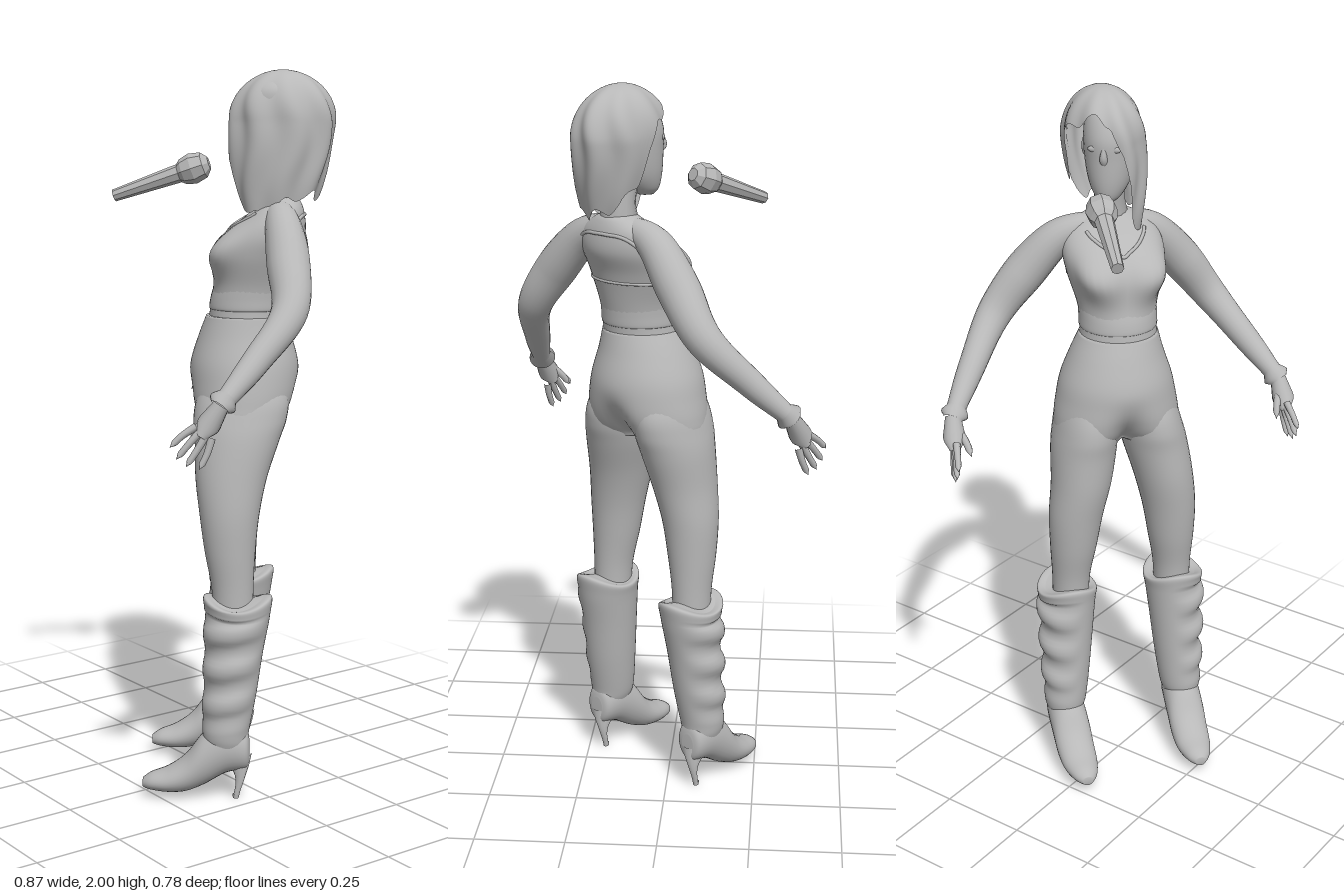
import * as THREE from 'three';

const grey = new THREE.MeshStandardMaterial({ color: 0xb8b8b8 });
grey.name = 'grey';
const V = (x, y, z) => new THREE.Vector3(x, y, z);

function part(name, geometry, parent) {
  const m = new THREE.Mesh(geometry, grey);
  m.name = name;
  parent.add(m);
  return m;
}

// smooth interpolation between rows of numbers, t in 0..rows-1
function rowAt(rows, t) {
  const last = rows.length - 1;
  const i = Math.min(Math.floor(t), last - 1), f = t - i;
  const r = k => rows[Math.max(0, Math.min(last, k))];
  return r(i).map((b, k) => {
    const a = r(i - 1)[k], c = r(i + 1)[k], d = r(i + 2)[k];
    return b + 0.5 * f * (c - a + f * (2 * a - 5 * b + 4 * c - d + f * (3 * (b - c) + d - a)));
  });
}

// skin over a grid of points: point(v, angle) for rows rising in y
function skin(count, n, point, caps = true) {
  const pos = [], idx = [];
  for (let i = 0; i <= count; i++)
    for (let j = 0; j < n; j++) pos.push(...point(i / count, (j / n) * Math.PI * 2));
  for (let i = 0; i < count; i++)
    for (let j = 0; j < n; j++) {
      const k = (j + 1) % n, a = i * n + j, b = i * n + k, c = a + n, d = b + n;
      idx.push(a, b, d, a, d, c);
    }
  if (caps) for (const row of [0, count]) {
    const mid = [0, 0, 0];
    for (let j = 0; j < n; j++) for (let k = 0; k < 3; k++) mid[k] += pos[(row * n + j) * 3 + k] / n;
    const c = pos.length / 3;
    pos.push(...mid);
    for (let j = 0; j < n; j++) {
      const a = row * n + j, b = row * n + (j + 1) % n;
      row ? idx.push(c, a, b) : idx.push(c, b, a);
    }
  }
  const g = new THREE.BufferGeometry();
  g.setAttribute('position', new THREE.Float32BufferAttribute(pos, 3));
  g.setIndex(idx);
  g.computeVertexNormals();
  return g;
}

// point on a stack of rings [x, y, z, half width, half depth] at row u and angle t
function ringPoint(rings, u, t, warp) {
  const [x, y, z, a, b] = rowAt(rings, u);
  const [k, dy] = warp ? warp(t, y) : [1, 0];
  return [x + a * k * Math.sin(t), y + dy, z + b * k * Math.cos(t)];
}
function loft(rings, n = 28, warp = null, sub = 6) {
  const rows = rings.length - 1;
  return skin(rows * sub, n, (v, t) => ringPoint(rings, v * rows, t, warp));
}

// round limb along points with its own radius at each one
function limb(points, radii, steps = 24, sides = 16) {
  const curve = new THREE.CatmullRomCurve3(points);
  const g = new THREE.TubeGeometry(curve, steps, 1, sides);
  const p = g.attributes.position, q = V(0, 0, 0);
  for (let i = 0; i < p.count; i++) {
    const u = Math.floor(i / (sides + 1)) / steps, c = curve.getPointAt(u);
    const r = Math.max(0.0005, rowAt(radii.map(x => [x]), u * (radii.length - 1))[0]);
    q.fromBufferAttribute(p, i).sub(c).multiplyScalar(r).add(c);
    p.setXYZ(i, q.x, q.y, q.z);
  }
  return g;
}

const torsoRings = [
  [0, 1.30, -0.02, 0.112, 0.106], [0, 1.36, -0.025, 0.106, 0.105], [0, 1.42, -0.035, 0.112, 0.105],
  [0, 1.50, -0.05, 0.135, 0.108], [0, 1.56, -0.075, 0.142, 0.105], [0, 1.61, -0.10, 0.125, 0.078],
  [0, 1.645, -0.112, 0.075, 0.055], [0, 1.66, -0.112, 0.04, 0.04]];

// bust swelling at the front of the torso
const bust = (t, y) => {
  const side = Math.abs(t > Math.PI ? t - Math.PI * 2 : t);
  return [1 + 0.34 * Math.exp(-(((side - 0.5) / 0.42) ** 2) - ((y - 1.51) / 0.062) ** 2), 0];
};

// thin seam on the torso through points given as [angle, y]
function seam(points, r) {
  const path = points.map(([t, y]) => {
    let u = 0;
    while (u < 6.9 && rowAt(torsoRings, u)[1] < y) u += 0.02;
    return V(...ringPoint(torsoRings, u, t < 0 ? t + Math.PI * 2 : t, bust));
  });
  return new THREE.TubeGeometry(new THREE.CatmullRomCurve3(path), 48, r, 8);
}
const span = (from, to, f) => Array.from({ length: 13 }, (_, i) => f(from + (to - from) * i / 12, i / 6 - 1));

function addTorso(body) {
  part('torso', loft(torsoRings, 48, bust, 8), body);
  part('topHem', loft([[0, 1.352, -0.025, 0.104, 0.103], [0, 1.357, -0.025, 0.109, 0.108],
    [0, 1.385, -0.028, 0.109, 0.107], [0, 1.42, -0.034, 0.11, 0.103]], 36), body);
  // hips, parting towards the two thighs at front and back
  const parting = (t, y) => {
    const low = Math.min(1, Math.max(0, (1.2 - y) / 0.16));
    const middle = Math.asin(Math.sin(t));
    return [1 - 0.6 * low ** 2 * Math.exp(-((middle / 0.3) ** 2)), 0];
  };
  part('trouserHips', loft([
    [-0.006, 1.03, -0.004, 0.155, 0.105], [-0.008, 1.06, -0.006, 0.179, 0.136], [-0.01, 1.10, -0.01, 0.178, 0.149],
    [-0.01, 1.15, -0.013, 0.17, 0.152], [-0.01, 1.21, -0.014, 0.157, 0.148], [-0.007, 1.28, -0.016, 0.131, 0.128],
    [0, 1.335, -0.02, 0.11, 0.111]], 64, parting), body);
  // neckline and the open back
  part('neckline', seam(span(-0.75, 0.75, (t, k) => [t, 1.562 + 0.055 * Math.abs(k)]), 0.005), body);
  part('backOpening', seam(span(1.9, 4.38, (t, k) => [t, 1.61 - 0.12 * k ** 4]), 0.005), body);
  part('backBand', seam(span(1.9, 4.38, t => [t, 1.478]), 0.004), body);
  part('neck', limb([V(0, 1.61, -0.112), V(0, 1.68, -0.108), V(-0.005, 1.78, -0.09)], [0.06, 0.042, 0.045]), body);
}

function addArm(body, s) {
  const P = (x, y, z) => V(s * x - 0.012, y, z);
  part('sleeve', limb(
    [P(0.03, 1.618, -0.108), P(0.085, 1.608, -0.112), P(0.137, 1.582, -0.12), P(0.225, 1.488, -0.135), P(0.312, 1.375, -0.138),
      P(0.4, 1.255, -0.052), P(0.472, 1.155, 0.032)],
    [0.035, 0.05, 0.058, 0.051, 0.042, 0.035, 0.025], 40, 20), body);
  part('cuff', limb([P(0.456, 1.178, 0.013), P(0.465, 1.163, 0.026), P(0.473, 1.15, 0.036)], [0.024, 0.032, 0.038, 0.026], 10, 20), body);
  // palm and spread fingers
  part('palm', limb([P(0.472, 1.155, 0.032), P(0.476, 1.115, 0.058), P(0.48, 1.075, 0.083)], [0.022, 0.027, 0.03, 0.014], 12), body);
  for (let f = 0; f < 4; f++) {
    const k = f - 1.5, l = f === 0 || f === 3 ? 0.85 : 1;
    const at = (t, w) => P(0.477 + 0.012 * t, 1.087 - 0.078 * t + 0.01 * k * w, 0.075 + 0.058 * t + 0.013 * k * w);
    part('finger', limb([at(0, 1), at(0.5 * l, 1.6), at(l, 1.9)], [0.01, 0.01, 0.0095, 0.009, 0.0085, 0.008, 0], 14, 8), body);
  }
  part('thumb', limb([P(0.468, 1.128, 0.055), P(0.45, 1.1, 0.087), P(0.44, 1.065, 0.112)], [0.013, 0.012, 0.011, 0.01, 0.009, 0], 12, 8), body);
}

function addLeg(body, s) {
  // the thigh runs up into the hips
  part('trouserLeg', loft([
    [0.155, 0.5, 0.01, 0.052, 0.055], [0.153, 0.6, 0.013, 0.055, 0.058], [0.147, 0.7, 0.02, 0.067, 0.07],
    [0.139, 0.8, 0.022, 0.077, 0.082], [0.122, 0.9, 0.018, 0.085, 0.098], [0.105, 1.0, 0.003, 0.092, 0.116],
    [0.095, 1.06, -0.005, 0.09, 0.128], [0.088, 1.12, -0.012, 0.08, 0.124], [0.078, 1.2, -0.013, 0.055, 0.09]]
    .map(r => [s * r[0] - Math.max(0, r[1] - 0.9) * 0.05, ...r.slice(1)]), 36), body);
  // slouched shaft, with folds on the outer side and a notched rim
  const folds = (t, y) => {
    const outer = Math.max(0, Math.sin(t) * s * 0.85 + 0.3 * Math.cos(t));
    const mid = Math.min(1, Math.max(0, (y - 0.2) / 0.06)) * (y < 0.53 ? 1 : 0.3);
    const wave = Math.cos(y * 62 + 1.2 + 0.8 * Math.cos(t));
    return [1 + mid * outer * 0.11 * (Math.sign(wave) * Math.abs(wave) ** 0.7 - 0.3),
      y > 0.5 ? 0.014 * Math.cos(2 * t) * (y - 0.5) / 0.065 : 0];
  };
  part('bootShaft', loft([
    [0.182, 0.12, 0.04, 0.035, 0.04], [0.182, 0.16, 0.03, 0.052, 0.058], [0.18, 0.2, 0.03, 0.062, 0.065],
    [0.175, 0.3, 0.02, 0.071, 0.074], [0.17, 0.42, 0.01, 0.079, 0.082], [0.165, 0.52, 0, 0.085, 0.091],
    [0.163, 0.562, -0.002, 0.087, 0.094], [0.161, 0.562, 0, 0.065, 0.07]].map(r => [s * r[0], ...r.slice(1)]), 44, folds, 10), body);
  // foot, lofted from heel to toe: [z, bottom, top, half width]
  const foot = loft([[-0.036, 0.11, 0.17, 0.02], [-0.024, 0.088, 0.205, 0.042], [0.03, 0.075, 0.228, 0.054],
    [0.09, 0.04, 0.19, 0.056], [0.14, 0.02, 0.125, 0.055], [0.19, 0.016, 0.087, 0.05],
    [0.238, 0.02, 0.068, 0.035], [0.262, 0.026, 0.052, 0.016]]
    .map(([z, lo, hi, w]) => [s * (0.182 - 0.03 * Math.max(0, z)), z, -(lo + hi) / 2, w, (hi - lo) / 2]), 28);
  part('bootFoot', foot.rotateX(Math.PI / 2), body);
  part('bootHeel', limb([V(s * 0.182, 0.13, -0.006), V(s * 0.182, 0.06, -0.01), V(s * 0.182, 0, 0.002)],
    [0.036, 0.027, 0.015, 0.009, 0.008], 16, 12), body);
  const tip = part('heelTip', new THREE.CylinderGeometry(0.009, 0.008, 0.01, 12), body);
  tip.position.set(s * 0.182, 0.005, 0.002);
}

function addHead(body) {
  const head = new THREE.Group();
  head.name = 'head';
  head.position.set(-0.005, 0, -0.073);
  head.rotation.y = -0.5;
  body.add(head);
  part('face', loft([[0, 1.702, 0.045, 0.015, 0.02], [0, 1.72, 0.035, 0.036, 0.045], [0, 1.76, 0.016, 0.057, 0.072],
    [0, 1.82, 0.003, 0.07, 0.088], [0, 1.88, -0.003, 0.074, 0.094], [0, 1.94, -0.015, 0.066, 0.08],
    [0, 1.975, -0.02, 0.03, 0.04]], 32), head);
  part('nose', limb([V(0, 1.865, 0.086), V(0, 1.832, 0.092), V(0, 1.812, 0.082)], [0.004, 0.008, 0.011, 0.006], 12, 10), head);
  const lips = part('lips', new THREE.SphereGeometry(0.02, 16, 10), head);
  lips.position.set(0, 1.775, 0.077);
  lips.scale.set(1, 0.5, 0.5);
  for (const s of [-1, 1]) {
    const eye = part('eye', new THREE.SphereGeometry(0.014, 14, 10), head);
    eye.position.set(s * 0.03, 1.855, 0.081);
    eye.scale.set(1.1, 0.6, 0.4);
    const ear = part('ear', new THREE.SphereGeometry(0.024, 14, 10), head);
    ear.position.set(s * 0.072, 1.84, -0.005);
    ear.scale.set(0.4, 1.2, 0.75);
  }
}

function addHair(body) {
  // lower edge of the hair by angle: short over the face, long on the left
  const edge = [[-3.15, 1.66], [-2.3, 1.69], [-1.85, 1.75], [-1.4, 1.89], [-0.8, 1.935], [-0.15, 1.925],
    [0.15, 1.82], [0.4, 1.66], [0.9, 1.605], [1.5, 1.63], [2.2, 1.665], [3.15, 1.66]];
  const bottom = t => {
    const i = edge.findIndex(e => e[0] > t), [a, p] = edge[i - 1], [b, q] = edge[i];
    return p + (q - p) * (t - a) / (b - a);
  };
  const shell = inset => skin(40, 96, (v, angle) => {
    const t = angle > Math.PI ? angle - Math.PI * 2 : angle;
    const lo = bottom(t) + 0.014 * Math.sin(t * 8), top = 1.998 - inset;
    const y = top - (top - lo) * Math.pow(1 - v, 1.6);
    let r = y > 1.86 ? Math.sqrt(Math.max(0, 1 - ((y - 1.86) / (top - 1.86)) ** 2)) : 1 - 5 * (1.86 - y) ** 2;
    const low = Math.max(0, 1.86 - y);
    r *= 1 + Math.min(1, r) * 0.05 * Math.sin(t * 8 + 0.9 * Math.sin(y * 20)) - inset * 8;
    return [-0.016 + 0.08 * low + 0.109 * r * Math.sin(t), y, -0.116 + 0.08 * low + 0.142 * r * Math.cos(t)];
  }, false);
  part('hair', shell(0), body);
  // inner side of the hair, facing inwards
  const inner = shell(0.008);
  inner.setIndex(Array.from(inner.index.array).reverse());
  inner.computeVertexNormals();
  part('hairInside', inner, body);
}

function addMicrophone(root) {
  const profile = [[0, 0], [0.017, 0], [0.026, 0.195], [0.036, 0.207], [0.043, 0.235], [0.036, 0.268], [0.018, 0.284], [0, 0.284]];
  const g = new THREE.LatheGeometry(profile.map(p => new THREE.Vector2(...p)), 8).toNonIndexed();
  g.computeVertexNormals();
  const mic = part('microphone', g, root);
  mic.position.set(-0.25, 1.655, 0.175);
  mic.quaternion.setFromUnitVectors(V(0, 1, 0), V(0.16, 0.078, -0.165).normalize());
}

export function createModel() {
  const root = new THREE.Group();
  root.name = 'singer';
  const body = new THREE.Group();
  body.name = 'figure';
  body.position.set(0.058, 0, -0.034);
  body.rotation.y = -0.67;
  root.add(body);
  addTorso(body);
  for (const s of [-1, 1]) {
    addArm(body, s);
    addLeg(body, s);
  }
  addHead(body);
  addHair(body);
  addMicrophone(root);
  return root;
}
